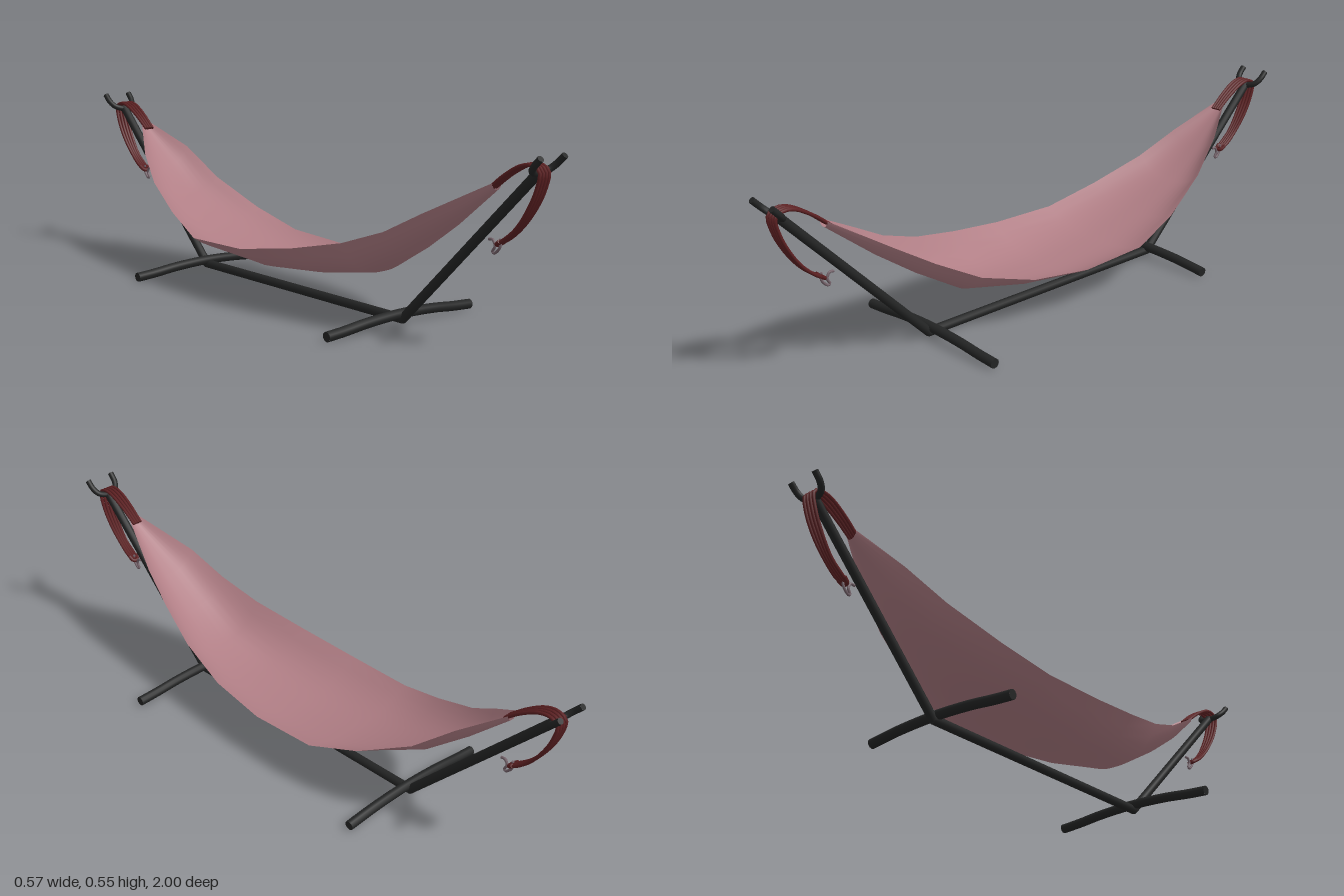
import * as THREE from 'three';
import { mergeGeometries } from 'three/addons/utils/BufferGeometryUtils.js';

const mat = (name, color, side = THREE.FrontSide) => {
  const m = new THREE.MeshStandardMaterial({ color, side });
  m.name = name;
  return m;
};
const V = (p) => new THREE.Vector3(...p);

// Capped round tube along a smooth (or straight) path
function tube(name, points, radius, material, segments = 16, sides = 10) {
  const path = points.length === 2
    ? new THREE.LineCurve3(V(points[0]), V(points[1]))
    : new THREE.CatmullRomCurve3(points.map(V), false, 'centripetal');
  const parts = [new THREE.TubeGeometry(path, segments, radius, sides)];
  for (const t of [0, 1]) {
    const dir = path.getTangentAt(t).multiplyScalar(t ? 1 : -1);
    const cap = new THREE.CircleGeometry(radius, sides);
    cap.applyQuaternion(new THREE.Quaternion().setFromUnitVectors(new THREE.Vector3(0, 0, 1), dir));
    const end = path.getPointAt(t);
    parts.push(cap.translate(end.x, end.y, end.z));
  }
  const mesh = new THREE.Mesh(mergeGeometries(parts), material);
  mesh.name = name;
  return mesh;
}

// Cloth sheet: each station is z, left rim x/y, bottom y, right rim x/y
function clothGeometry() {
  const stations = [
    [0.81, -0.02, 0.46, 0.44, 0.02, 0.46],
    [0.64, -0.105, 0.365, 0.31, 0.08, 0.355],
    [0.52, -0.132, 0.3, 0.228, 0.11, 0.283],
    [0.38, -0.16, 0.25, 0.145, 0.14, 0.21],
    [0.2, -0.197, 0.21, 0.115, 0.17, 0.16],
    [0, -0.225, 0.18, 0.1, 0.187, 0.14],
    [-0.23, -0.225, 0.176, 0.12, 0.187, 0.15],
    [-0.4, -0.185, 0.228, 0.175, 0.162, 0.205],
    [-0.57, -0.137, 0.297, 0.243, 0.122, 0.29],
    [-0.69, -0.09, 0.375, 0.335, 0.086, 0.385],
    [-0.81, -0.02, 0.46, 0.44, 0.02, 0.46],
  ];
  const n = 14, pos = [], idx = [];
  stations.forEach(([z, lx, ly, by, rx, ry], i) => {
    for (let j = 0; j <= n; j++) {
      const u = (j / n) * 2 - 1, a = Math.abs(u);
      const [ex, ey] = u < 0 ? [lx, ly] : [rx, ry];
      pos.push(ex * a, by + (ey - by) * a ** 2.8, z);
      if (i && j) {
        const d = i * (n + 1) + j, c = d - 1, b = d - n - 1, e = b - 1;
        idx.push(c, d, e, d, b, e);
      }
    }
  });
  const g = new THREE.BufferGeometry();
  g.setAttribute('position', new THREE.Float32BufferAttribute(pos, 3));
  g.setIndex(idx);
  g.computeVertexNormals();
  return g;
}

export function createModel() {
  const black = mat('black steel', 0x232424);
  const red = mat('dark red rope', 0x5c2022);
  const pink = mat('dusty pink cloth', 0xb07e85, THREE.DoubleSide);
  const metal = mat('clip metal', 0x74626a);

  const model = new THREE.Group();
  model.name = 'hammock';

  const cloth = new THREE.Mesh(clothGeometry(), pink);
  cloth.name = 'clothBed';
  model.add(cloth);

  // Stand: long floor beam, then both ends
  model.add(tube('floorBeam', [[0, 0.022, -0.47], [0, 0.022, 0.47]], 0.014, black, 1, 12));

  for (const s of [1, -1]) {
    const end = new THREE.Group();
    end.name = s > 0 ? 'frontEnd' : 'backEnd';

    end.add(tube('slopingArm', [[0, 0.02, 0.465 * s], [0, 0.505, 0.95 * s]], 0.014, black, 1, 12));

    // Arched cross foot
    const right = s > 0 ? 0.283 : 0.25;
    end.add(tube('crossFoot', [
      [-0.283, 0.018, 0.46 * s], [-0.22, 0.022, 0.46 * s], [-0.13, 0.031, 0.46 * s], [0, 0.036, 0.46 * s],
      [0.13, 0.031, 0.46 * s], [0.21, 0.023, 0.46 * s], [right, 0.018, 0.46 * s],
    ], 0.015, black, 20, 12));

    // Forked hook, lying in the plane of the arm
    const fork = [[-0.047, 0.548], [-0.045, 0.526], [-0.035, 0.511], [-0.018, 0.504], [0, 0.502],
      [0.018, 0.504], [0.035, 0.511], [0.045, 0.526], [0.047, 0.548]];
    end.add(tube('forkHook', fork.map(([x, y]) => [x, y, (y + 0.445) * s]), 0.0095, black, 28));

    // Rope strands: from the cloth, over the hook, hanging beneath the arm
    for (let k = 0; k < 4; k++) {
      const w = (k - 1.5) / 1.5;
      end.add(tube('ropeStrand', [
        [0.013 * w, 0.445, 0.795 * s], [0.016 * w, 0.487, 0.85 * s], [0.018 * w, 0.517, 0.905 * s],
        [0.018 * w, 0.522, 0.94 * s], [0.018 * w, 0.508, 0.966 * s], [0.018 * w, 0.46, 0.957 * s],
        [0.016 * w, 0.4, 0.927 * s], [0.012 * w, 0.345, 0.885 * s], [0.012 * w, 0.31, 0.842 * s],
        [0.008 * w, 0.3, 0.822 * s],
      ], 0.0052, red, 32, 7));
    }
    // Loop joining the strands
    end.add(tube('ropeLoop', [[-0.013, 0.308, 0.835 * s], [-0.008, 0.297, 0.82 * s],
      [0.008, 0.297, 0.82 * s], [0.013, 0.308, 0.835 * s]], 0.006, red, 10, 7));

    // Small open clip at the rope end
    end.add(tube('ropeClip', [[0, 0.312, 0.826 * s], [0, 0.29, 0.826 * s], [0, 0.27, 0.806 * s],
      [0, 0.273, 0.8 * s], [0, 0.29, 0.808 * s], [0, 0.306, 0.8 * s], [0, 0.306, 0.786 * s]],
    0.004, metal, 24, 7));
    model.add(end);
  }
  return model;
}
